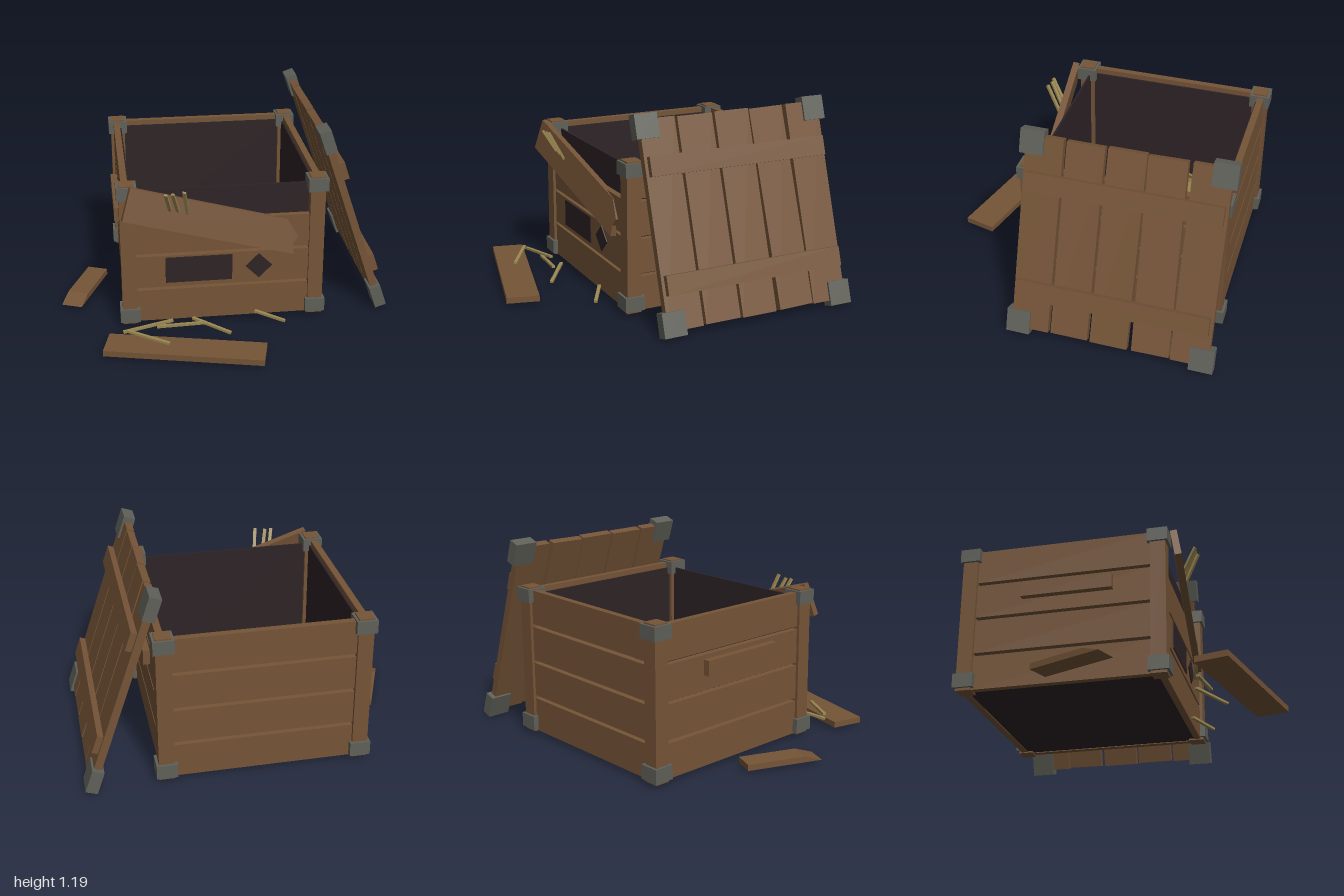
import * as THREE from 'three';
import { ConvexGeometry } from 'three/addons/geometries/ConvexGeometry.js';

const material = (name, color) => {
  const m = new THREE.MeshStandardMaterial({ color, flatShading: true });
  m.name = name;
  return m;
};

export function createModel() {
  const wood = material('wood', 0x755437);
  const dark = material('dark interior', 0x2e2326);
  const metal = material('metal', 0x5f6058);
  const straw = material('straw', 0x998650);

  const model = new THREE.Group();
  model.name = 'brokenCrate';

  const add = (parent, name, geometry, mat, x = 0, y = 0, z = 0) => {
    const mesh = new THREE.Mesh(geometry, mat);
    mesh.name = name;
    mesh.position.set(x, y, z);
    parent.add(mesh);
    return mesh;
  };
  const box = (parent, name, mat, w, h, d, x, y, z) =>
    add(parent, name, new THREE.BoxGeometry(w, h, d), mat, x, y, z);
  const extrude = (points, depth) => {
    const shape = new THREE.Shape(points.map(([x, y]) => new THREE.Vector2(x, y)));
    return new THREE.ExtrudeGeometry(shape, { depth, bevelEnabled: false }).translate(0, 0, -depth / 2);
  };

  // Crate body, centred on its own axis
  const crate = new THREE.Group();
  crate.name = 'crate';
  crate.position.set(-0.025, 0, -0.27);
  model.add(crate);

  // Corner posts with metal caps top and bottom
  for (const sx of [-1, 1]) for (const sz of [-1, 1]) {
    const x = sx * 0.5625, z = sz * 0.5625;
    box(crate, 'cornerPost', wood, 0.09, 0.9, 0.09, x, 0.47, z);
    box(crate, 'bottomCap', metal, 0.12, 0.085, 0.12, x, 0.078, z);
    box(crate, 'topCap', metal, 0.12, 0.08, 0.12, x, 0.872, z);
  }

  // Four walls of planks over a dark lining; the front lacks its top plank
  for (let side = 0; side < 4; side++) {
    const wall = new THREE.Group();
    wall.name = ['frontWall', 'rightWall', 'backWall', 'leftWall'][side];
    wall.rotation.y = side * Math.PI / 2;
    crate.add(wall);
    const rows = side === 0 ? 3 : 4;
    for (let i = 0; i < rows; i++) {
      box(wall, 'wallPlank', wood, 1.04, 0.205, 0.04, 0, 0.128 + i * 0.224, 0.57);
    }
    box(wall, 'lining', dark, 1.08, 0.84, 0.012, 0, 0.45, 0.545);
    if (side % 2) box(wall, 'handle', wood, 0.54, 0.09, 0.042, 0.03 * (side - 2), 0.607, 0.609);
  }
  box(crate, 'floor', dark, 1.08, 0.03, 1.08, 0, 0.045, 0);

  // Painted marks on the front
  box(crate, 'paintedPanel', dark, 0.4, 0.165, 0.008, -0.145, 0.36, 0.592);
  box(crate, 'paintedDiamond', dark, 0.113, 0.113, 0.008, 0.217, 0.358, 0.592).rotation.z = Math.PI / 4;

  // Snapped front plank hanging askew
  const broken = add(model, 'hangingPlank', extrude(
    [[-0.51, -0.093], [0.551, -0.093], [0.535, -0.03], [0.552, 0.02], [0.46, 0.108], [-0.51, 0.108]], 0.04),
  wood, -0.11, 0.68, 0.357);
  broken.rotation.set(-0.155, 0.12, -0.295, 'YXZ');

  // Lid leaning against the side
  const lid = new THREE.Group();
  lid.name = 'lid';
  lid.position.set(0.77, 0.6, -0.305);
  lid.rotation.z = 0.326;
  model.add(lid);
  const tilts = [0, 0, 0, 0.018, 0];
  tilts.forEach((tilt, i) => {
    const board = box(lid, 'lidBoard', wood, 0.045, 1.17 - (i % 2) * 0.008, 0.22, 0, 0, 0.473 - i * 0.2365);
    board.rotation.x = tilt;
  });
  for (const y of [-0.333, 0.32]) {
    box(lid, 'lidBatten', wood, 0.036, 0.112, 1.13, 0.04, y, 0);
  }
  for (const y of [-0.546, 0.546]) for (const z of [-0.543, 0.543]) {
    box(lid, 'lidCap', metal, 0.07, 0.14, 0.14, 0, y, z);
  }

  // Fallen planks on the ground
  box(model, 'fallenPlank', wood, 0.93, 0.036, 0.195, -0.292, 0.04, 0.705).rotation.y = -0.238;
  const shard = add(model, 'plankShard', extrude(
    [[-0.23, -0.018], [0.23, -0.018], [0.12, 0.018], [-0.23, 0.018]], 0.13),
  wood, -0.855, 0.04, -0.135);
  shard.rotation.y = -Math.PI / 2 - 0.385;

  // Faceted heap of straw inside
  const outline = [[-0.14, -0.71], [0.22, -0.61], [0.36, -0.42], [0.37, -0.33], [0.12, -0.1],
    [-0.2, -0.12], [-0.44, -0.2], [-0.5, -0.36], [-0.45, -0.56]];
  const cx = -0.1, cz = -0.4;
  const heapPoints = [new THREE.Vector3(-0.14, 0.4, -0.4)];
  for (const [scale, y] of [[0.85, 0.07], [1, 0.17], [0.8, 0.29], [0.42, 0.375]]) {
    outline.forEach(([x, z], i) => heapPoints.push(new THREE.Vector3(
      cx + (x - cx) * scale, y + (i % 2) * 0.012, cz + (z - cz) * scale)));
  }
  add(model, 'strawHeap', new ConvexGeometry(heapPoints), straw);

  // Loose stalks: start and end points
  const stalks = [
    [-0.03, 0.32, -0.65, 0.18, 0.33, -0.55], [-0.53, 0.27, -0.3, -0.31, 0.36, -0.52],
    [-0.42, 0.33, -0.33, -0.26, 0.35, -0.18], [-0.47, 0.26, -0.11, -0.14, 0.28, -0.13],
    [-0.37, 0.91, 0.465, -0.34, 0.78, 0.39], [-0.33, 0.91, 0.46, -0.295, 0.77, 0.385],
    [-0.265, 0.92, 0.465, -0.24, 0.75, 0.38],
    [-0.64, 0.06, 0.5, -0.34, 0.085, 0.44], [-0.44, 0.065, 0.47, -0.15, 0.09, 0.5],
    [-0.22, 0.08, 0.42, -0.01, 0.05, 0.57], [-0.62, 0.08, 0.52, -0.38, 0.065, 0.67],
    [0.17, 0.05, 0.33, 0.34, 0.025, 0.43],
  ];
  for (const [ax, ay, az, bx, by, bz] of stalks) {
    const a = new THREE.Vector3(ax, ay, az), b = new THREE.Vector3(bx, by, bz);
    const stalk = add(model, 'strawStalk', new THREE.BoxGeometry(0.02, 0.014, a.distanceTo(b)), straw);
    stalk.position.copy(a).lerp(b, 0.5);
    stalk.lookAt(b);
  }
  return model;
}
